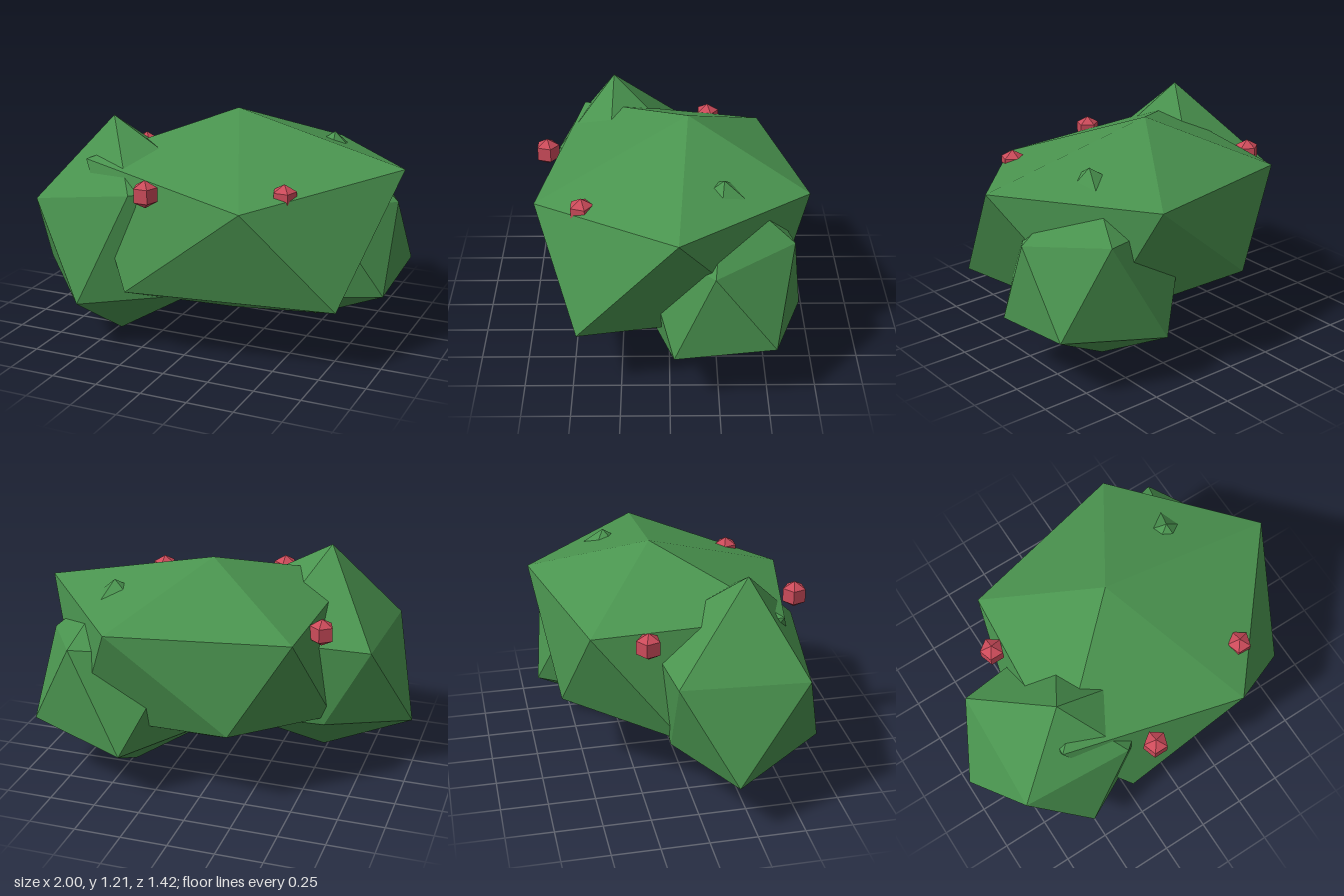
import * as THREE from 'three';

// Twenty-faced leaf clump: a tip, two staggered rings of five corners, and a base.
function clump(name, material, tip, upper, lower, base) {
  const corners = [];
  for (let i = 0; i < 5; i++) {
    const j = (i + 1) % 5;
    corners.push(
      tip, upper[j], upper[i],
      upper[i], upper[j], lower[i],
      lower[i], upper[j], lower[j],
      base, lower[i], lower[j]
    );
  }
  const geometry = new THREE.BufferGeometry();
  geometry.setAttribute('position', new THREE.Float32BufferAttribute(corners.flat(), 3));
  geometry.computeVertexNormals();
  const mesh = new THREE.Mesh(geometry, material);
  mesh.name = name;
  return mesh;
}

export function createModel() {
  const group = new THREE.Group();
  group.name = 'berryBush';

  const leafGreen = new THREE.MeshStandardMaterial({ color: 0x4a944f, flatShading: true });
  leafGreen.name = 'leafGreen';
  const berryRed = new THREE.MeshStandardMaterial({ color: 0xcc4b5a, flatShading: true });
  berryRed.name = 'berryRed';

  // Large middle clump
  group.add(clump('mainClump', leafGreen,
    [0.05, 1.21, -0.1],
    [[1, 0.99, -0.04], [0.39, 0.88, 0.69], [-0.57, 1, 0.47], [-0.49, 0.935, -0.5], [0.43, 0.955, -0.71]],
    [[0.82, 0.36, 0.47], [-0.26, 0.37, 0.66], [-0.6, 0.36, -0.05], [-0.19, 0.445, -0.62], [0.67, 0.38, -0.5]],
    [0.07, 0.1, 0]));

  // Front clump on the -x side
  group.add(clump('rightClump', leafGreen,
    [-0.49, 1.205, 0.3],
    [[0.08, 0.88, 0.32], [-0.26, 0.87, 0.6], [-0.84, 0.77, 0.54], [-0.81, 0.78, -0.12], [-0.22, 0.8, -0.18]],
    [[0, 0.31, 0.42], [-0.53, 0.27, 0.69], [-1, 0.3, 0.15], [-0.57, 0.33, -0.11], [-0.1, 0.3, -0.08]],
    [-0.48, 0, 0.3]));

  // Rear clump on the +x side
  group.add(clump('leftClump', leafGreen,
    [0.54, 1.09, -0.27],
    [[0.92, 0.755, -0.22], [0.62, 0.8, 0.15], [0.12, 0.8, 0], [0.12, 0.8, -0.5], [0.67, 0.81, -0.62]],
    [[0.915, 0.285, -0.02], [0.4, 0.25, 0.13], [0.05, 0.3, -0.24], [0.38, 0.27, -0.69], [0.92, 0.345, -0.53]],
    [0.46, 0.03, -0.25]));

  // Five-sided berries
  const berryGeometry = new THREE.SphereGeometry(0.073, 5, 3).rotateY(-Math.PI / 2);
  [[-0.133, 0.912, 0.655], [0.527, 0.912, 0.44], [-0.57, 0.912, -0.222]].forEach((p, i) => {
    const berry = new THREE.Mesh(berryGeometry, berryRed);
    berry.name = `berry${i + 1}`;
    berry.position.set(...p);
    group.add(berry);
  });

  return group;
}
